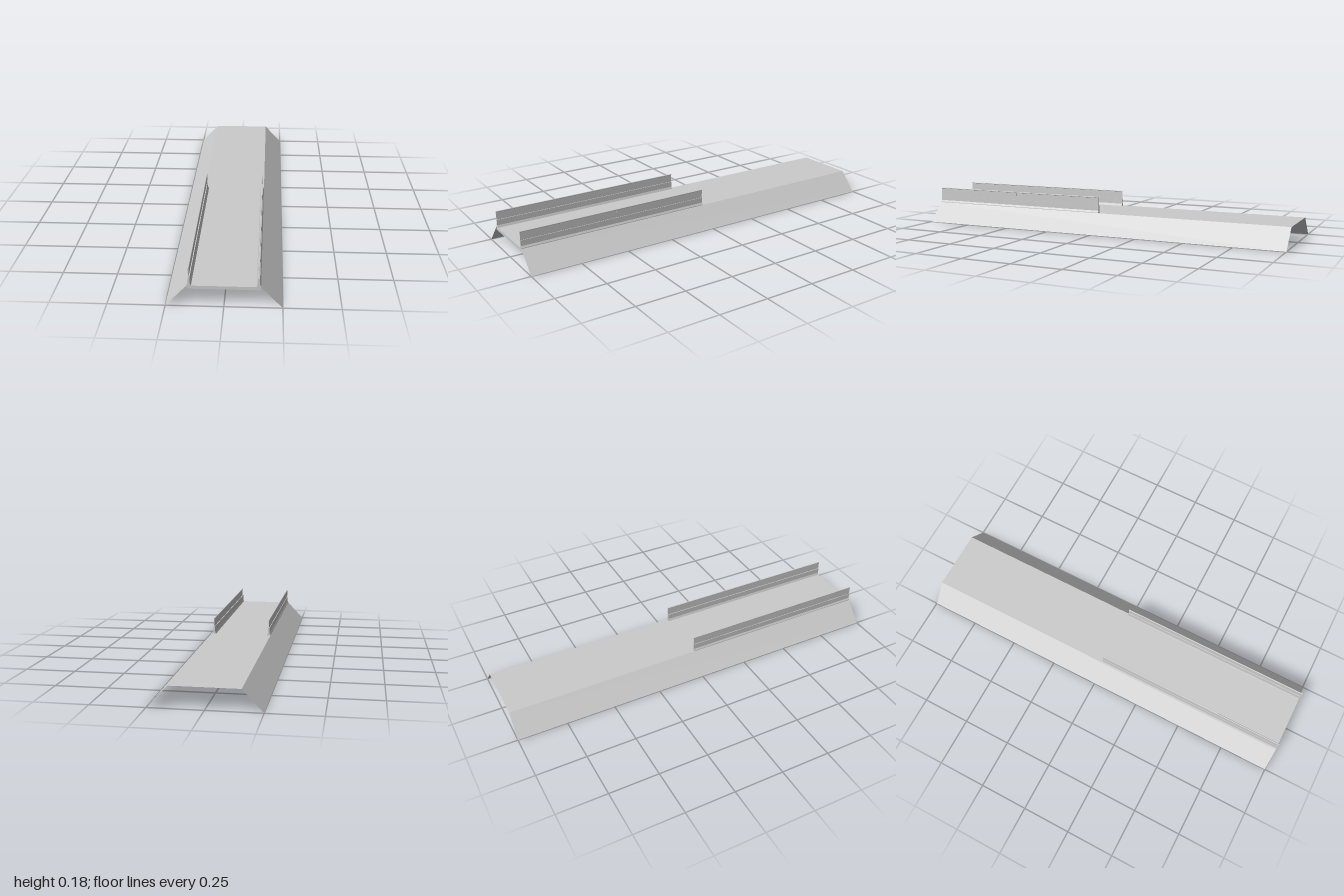
import * as THREE from 'three';

const material = new THREE.MeshStandardMaterial({ color: 0xcccccc, flatShading: true, side: THREE.DoubleSide });
const railMaterial = new THREE.MeshStandardMaterial({ color: 0xcccccc });

const DECK_Y = 0.1, HALF_TOP = 0.157, HALF_BASE = 0.25;

function part(name, geometry, parent, mat = material) {
  const mesh = new THREE.Mesh(geometry, mat);
  mesh.name = name;
  parent.add(mesh);
  return mesh;
}

// Low wall with a sloped foot, thin guard panel, posts and a round handrail
function createParapet(side) {
  const group = new THREE.Group();
  group.name = side > 0 ? 'leftParapet' : 'rightParapet';

  const profile = [[0.157, 0.1], [0.157, 0.103], [0.152, 0.112], [0.152, 0.14],
    [0.143, 0.14], [0.143, 0.112], [0.138, 0.1]];
  const shape = new THREE.Shape(profile.map(([x, y]) => new THREE.Vector2(x * side, y)));
  part('parapetWall', new THREE.ExtrudeGeometry(shape, { depth: 1, bevelEnabled: false }), group);

  const x = 0.148 * side;
  part('guardPanel', new THREE.BoxGeometry(0.002, 0.041, 1), group).position.set(x, 0.1595, 0.5);
  for (const z of [0.002, 0.5, 0.998]) {
    part('railPost', new THREE.BoxGeometry(0.003, 0.041, 0.004), group).position.set(x, 0.1595, z);
  }
  const rail = part('handrail', new THREE.CylinderGeometry(0.0028, 0.0028, 1, 12), group, railMaterial);
  rail.rotation.x = Math.PI / 2;
  rail.position.set(x, 0.181, 0.5);
  return group;
}

export function createModel() {
  const model = new THREE.Group();
  model.name = 'roadSection';

  // Road surface over the full length
  const road = part('roadSurface', new THREE.PlaneGeometry(2 * HALF_TOP, 2), model);
  road.rotation.x = -Math.PI / 2;
  road.position.y = DECK_Y;

  // Slab edge closing the front end
  part('deckFascia', new THREE.PlaneGeometry(2 * HALF_TOP, 0.015), model).position.set(0, 0.0925, 1);

  for (const side of [1, -1]) {
    // Embankment: a sheet sloping from the road edge to the ground
    const run = HALF_BASE - HALF_TOP;
    const slope = new THREE.PlaneGeometry(Math.hypot(run, DECK_Y), 2);
    slope.rotateX(-Math.PI / 2);
    slope.rotateZ(-side * Math.atan2(DECK_Y, run));
    part(side > 0 ? 'leftEmbankment' : 'rightEmbankment', slope, model)
      .position.set(side * (HALF_TOP + HALF_BASE) / 2, DECK_Y / 2, 0);

    model.add(createParapet(side));
  }
  return model;
}
